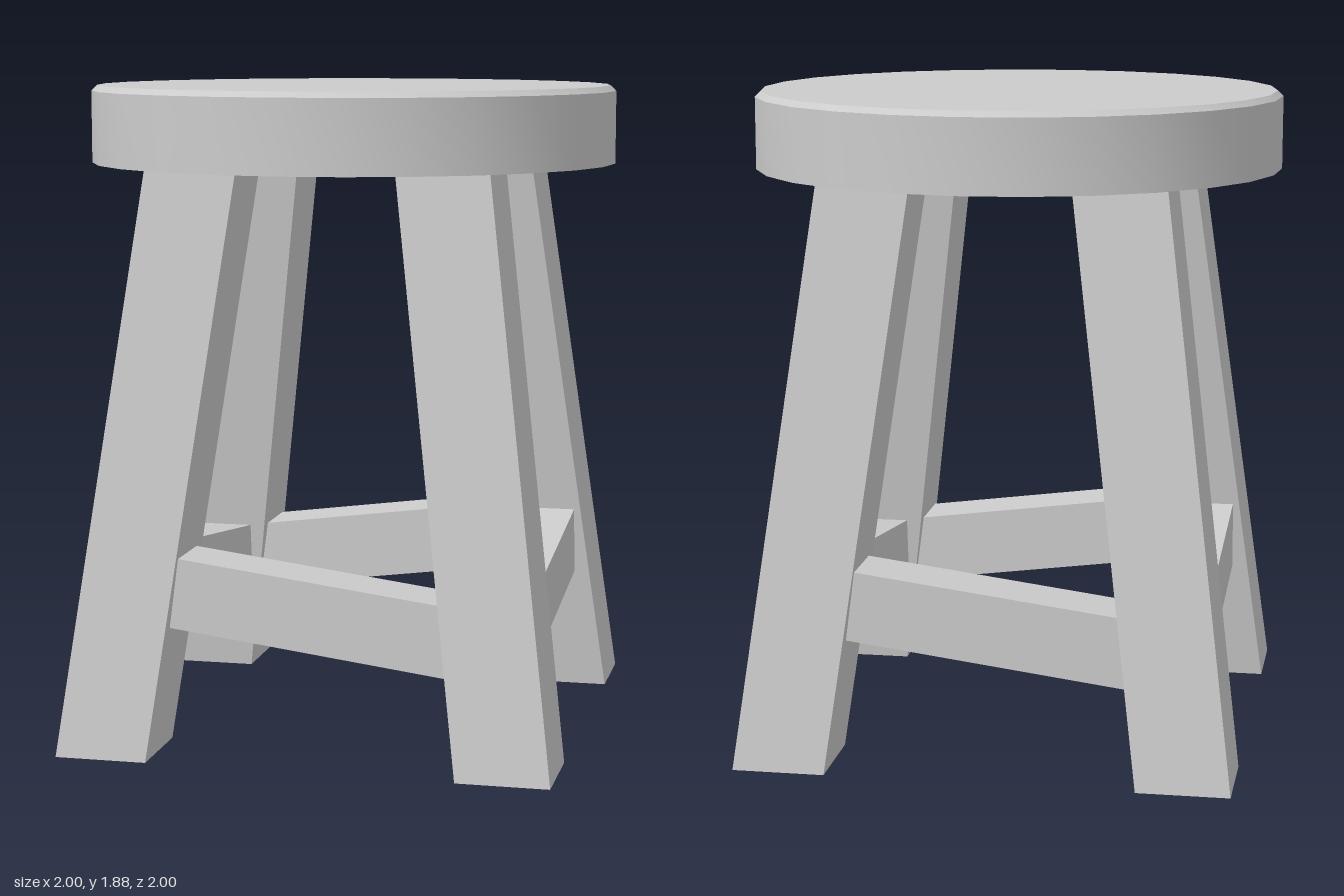
import * as THREE from 'three';
import { toCreasedNormals } from 'three/addons/utils/BufferGeometryUtils.js';

const SLOPE = 0.184; // how far the legs lean in per unit of height
const SEAT_BOTTOM = 1.655;
const SEAT_TOP = 1.88;

// Box whose vertices are moved by a shear rule, keeping flat faces
function shearedBox(w, h, d, rule) {
  const geo = new THREE.BoxGeometry(w, h, d).toNonIndexed();
  const pos = geo.attributes.position;
  const v = new THREE.Vector3();
  for (let i = 0; i < pos.count; i++) {
    v.fromBufferAttribute(pos, i);
    rule(v);
    pos.setXYZ(i, v.x, v.y, v.z);
  }
  geo.computeVertexNormals();
  return geo;
}

export function createModel() {
  const stool = new THREE.Group();
  stool.name = 'stool';
  const material = new THREE.MeshStandardMaterial({ color: 0xcccccc });

  function add(name, geometry) {
    const mesh = new THREE.Mesh(geometry, material);
    mesh.name = name;
    stool.add(mesh);
    return mesh;
  }

  // Round seat with a small chamfer on the top edge
  const profile = [
    [0, SEAT_BOTTOM], [0.767, SEAT_BOTTOM], [0.767, SEAT_TOP - 0.016], [0.751, SEAT_TOP], [0, SEAT_TOP],
  ].map(([x, y]) => new THREE.Vector2(x, y));
  add('seat', toCreasedNormals(new THREE.LatheGeometry(profile, 26, Math.PI / 2), Math.PI / 6));

  // Four square legs set corner-outwards, leaning in towards the seat
  const legWidth = 0.1875 * Math.SQRT2;
  const legGeometry = shearedBox(legWidth, SEAT_BOTTOM, legWidth, (v) => {
    v.applyAxisAngle(new THREE.Vector3(0, 1, 0), Math.PI / 4);
    v.y += SEAT_BOTTOM / 2;
    v.x += 0.8125 - SLOPE * v.y;
  });
  ['leftLeg', 'backLeg', 'rightLeg', 'frontLeg'].forEach((name, i) => {
    add(name, legGeometry).rotation.y = (i * Math.PI) / 2;
  });

  // Four stretchers between neighbouring legs, rising towards the side legs
  const stretcherGeometry = shearedBox(0.86, 0.203, 0.188, (v) => {
    v.y += 0.13 * v.x;
  });
  for (const sx of [1, -1]) {
    for (const sz of [1, -1]) {
      const name = (sz > 0 ? 'front' : 'back') + (sx > 0 ? 'Left' : 'Right') + 'Stretcher';
      const stretcher = add(name, stretcherGeometry);
      stretcher.position.set(sx * 0.3675, 0.42, sz * 0.3675);
      stretcher.rotation.y = Math.atan2(sz, sx);
    }
  }

  return stool;
}
